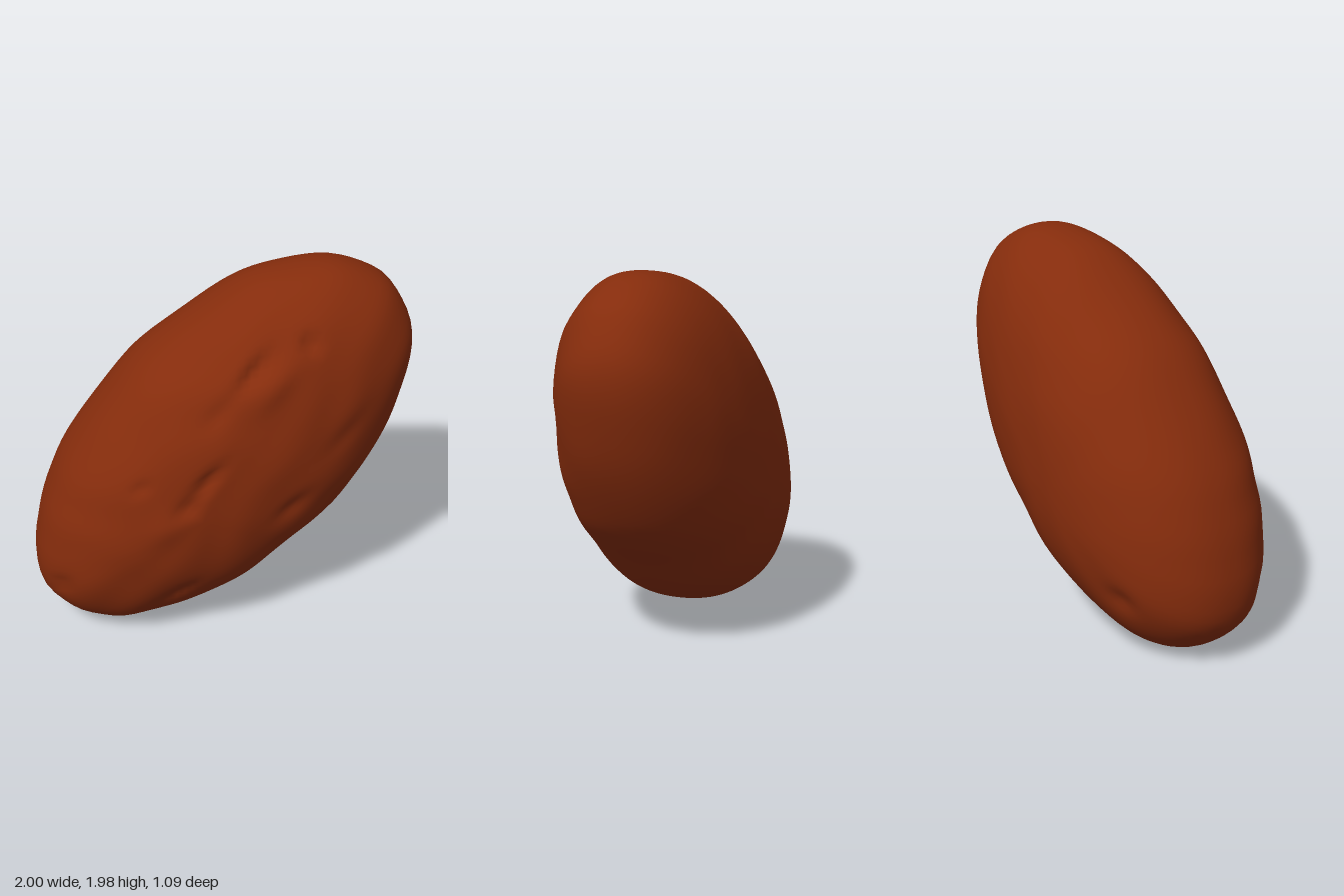
import * as THREE from 'three';
import { mergeVertices } from 'three/addons/utils/BufferGeometryUtils.js';

// Widest outline of the tuber, counter-clockwise in the xy plane
const OUTLINE = [
  [-0.67, 0], [-0.34, 0.03], [0.01, 0.15], [0.2, 0.26], [0.42, 0.46], [0.56, 0.58], [0.7, 0.73],
  [0.83, 0.94], [0.93, 1.18], [0.995, 1.45], [0.985, 1.64], [0.89, 1.82], [0.81, 1.89], [0.6, 1.97],
  [0.32, 1.95], [0.14, 1.9], [-0.12, 1.74], [-0.42, 1.52], [-0.66, 1.23], [-0.82, 1],
  [-0.93, 0.75], [-0.98, 0.55], [-1, 0.41], [-0.975, 0.22], [-0.835, 0.07],
];

// Eyes and knobs: x, y, side (1 front, -1 back), length, width, height (negative is a dent)
const MARKS = [
  [0.11, 1.6, 1, 0.12, 0.035, -0.045], [0.2, 1.53, 1, 0.14, 0.06, 0.025],
  [0.39, 1.71, 1, 0.04, 0.04, -0.04], [-0.15, 1.06, 1, 0.1, 0.035, -0.035],
  [-0.36, 0.8, 1, 0.12, 0.08, 0.02], [-0.25, 0.92, 1, 0.08, 0.04, -0.025],
  [-0.48, 1.02, 1, 0.05, 0.03, -0.015], [-0.9, 0.33, 1, 0.07, 0.04, -0.025],
  [-0.3, 0.3, 1, 0.12, 0.04, -0.02], [0.3, 0.82, 1, 0.1, 0.05, -0.02],
  [0.58, 1.2, 1, 0.12, 0.06, -0.015], [-0.08, 1.41, 1, 0.1, 0.04, -0.015],
  [-0.65, 0.35, -1, 0.07, 0.06, -0.025],
];

const CENTRE = new THREE.Vector3(-0.18, 0.83, 0);

// Relief of the skin: lumpy in front, smoother behind
function relief(x, y, z) {
  const along = 0.725 * x + 0.689 * y, across = 0.725 * y - 0.689 * x;
  const front = THREE.MathUtils.smoothstep(z, -0.1, 0.35);
  const lumps = Math.sin(9 * along + 2 * Math.sin(5 * across)) * Math.sin(12 * across + Math.sin(7 * along));
  let h = lumps * (0.002 + 0.004 * front);
  for (const [mx, my, side, length, width, height] of MARKS) {
    if (z * side <= 0) continue;
    const u = (0.725 * (x - mx) + 0.689 * (y - my)) / length;
    const v = (0.725 * (y - my) - 0.689 * (x - mx)) / width;
    h += height * Math.exp(-u * u - v * v) * Math.min(1, Math.abs(z) / 0.1);
  }
  return h;
}

function tuberGeometry() {
  const rim = new THREE.CatmullRomCurve3(OUTLINE.map(([x, y]) => new THREE.Vector3(x, y, 0)), true);
  const sphere = new THREE.SphereGeometry(1, 112, 72).rotateX(Math.PI / 2); // poles face front and back
  sphere.deleteAttribute('uv');
  sphere.deleteAttribute('normal');
  const geometry = mergeVertices(sphere, 1e-5);
  const pos = geometry.attributes.position;
  const p = new THREE.Vector3(), out = new THREE.Vector3();
  for (let i = 0; i < pos.count; i++) {
    p.fromBufferAttribute(pos, i);
    const turn = (Math.atan2(p.y, p.x) / (2 * Math.PI) + 1.33) % 1;
    const spread = Math.pow(Math.hypot(p.x, p.y), 0.91);
    const z = (p.z > 0 ? 0.53 : -0.55) * Math.pow(Math.abs(p.z), 0.91);
    p.copy(CENTRE).lerp(rim.getPointAt(turn), spread);
    p.z = z;
    // Push the skin in or out along its slope
    out.subVectors(p, CENTRE);
    out.z *= 3;
    p.addScaledVector(out.normalize(), relief(p.x, p.y, p.z));
    pos.setXYZ(i, p.x, p.y, p.z);
  }
  geometry.computeVertexNormals();
  return geometry;
}

export function createModel() {
  const group = new THREE.Group();
  group.name = 'potato';
  const skin = new THREE.MeshStandardMaterial({ color: 0x852c0c });
  skin.name = 'russet brown';
  const body = new THREE.Mesh(tuberGeometry(), skin);
  body.name = 'tuber';
  group.add(body);
  return group;
}
